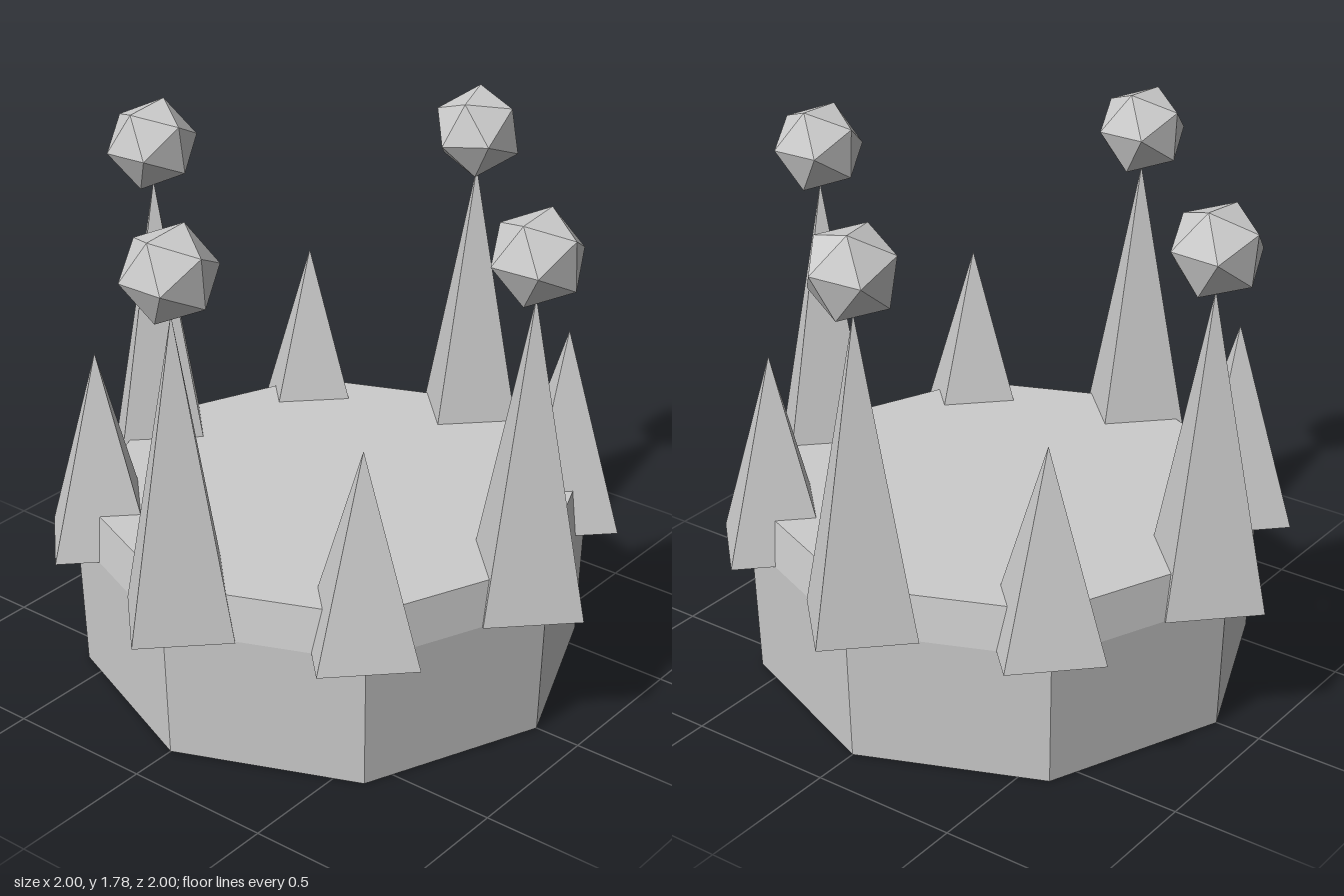
import * as THREE from 'three';

const grey = new THREE.MeshStandardMaterial({ color: 0xcccccc, flatShading: true });
grey.name = 'plainGrey';

function facet(geometry, name, x = 0, y = 0, z = 0) {
  const flat = geometry.index ? geometry.toNonIndexed() : geometry;
  flat.computeVertexNormals();
  const mesh = new THREE.Mesh(flat, grey);
  mesh.name = name;
  mesh.position.set(x, y, z);
  return mesh;
}

export function createModel() {
  const crown = new THREE.Group();
  crown.name = 'crown';

  // Eight-sided closed body, flared to the rim and bevelled above it
  const profile = [[0, 0], [0.84, 0], [0.856, 0.46], [0.833, 0.61], [0, 0.61]];
  crown.add(facet(
    new THREE.LatheGeometry(profile.map(([r, y]) => new THREE.Vector2(r, y)), 8), 'body'));

  // Ball tilts: front, left, back, right
  const tilts = [[0.08, 0, 0], [0.06, 0.05, 0], [0.12, 0.3, 0.08], [0.1, 0, 0.04]];

  // Four-sided spikes on the rim, alternating tall (with a ball) and short
  const ring = 0.773, rim = 0.46, radius = 0.226;
  for (let i = 0; i < 8; i++) {
    const angle = i * Math.PI / 4;
    const x = ring * Math.sin(angle), z = ring * Math.cos(angle);
    const tall = i % 2 === 0;
    const height = tall ? 1.05 : 0.68;
    crown.add(facet(new THREE.ConeGeometry(radius, height, 4),
      tall ? 'tallSpike' : 'shortSpike', x, rim + height / 2, z));

    if (tall) {
      const geometry = new THREE.IcosahedronGeometry(0.156, 0).rotateY(Math.PI / 2);
      const ball = facet(geometry, 'ball', x, 1.64, z);
      ball.rotation.set(...tilts[i / 2]);
      crown.add(ball);
    }
  }
  return crown;
}
